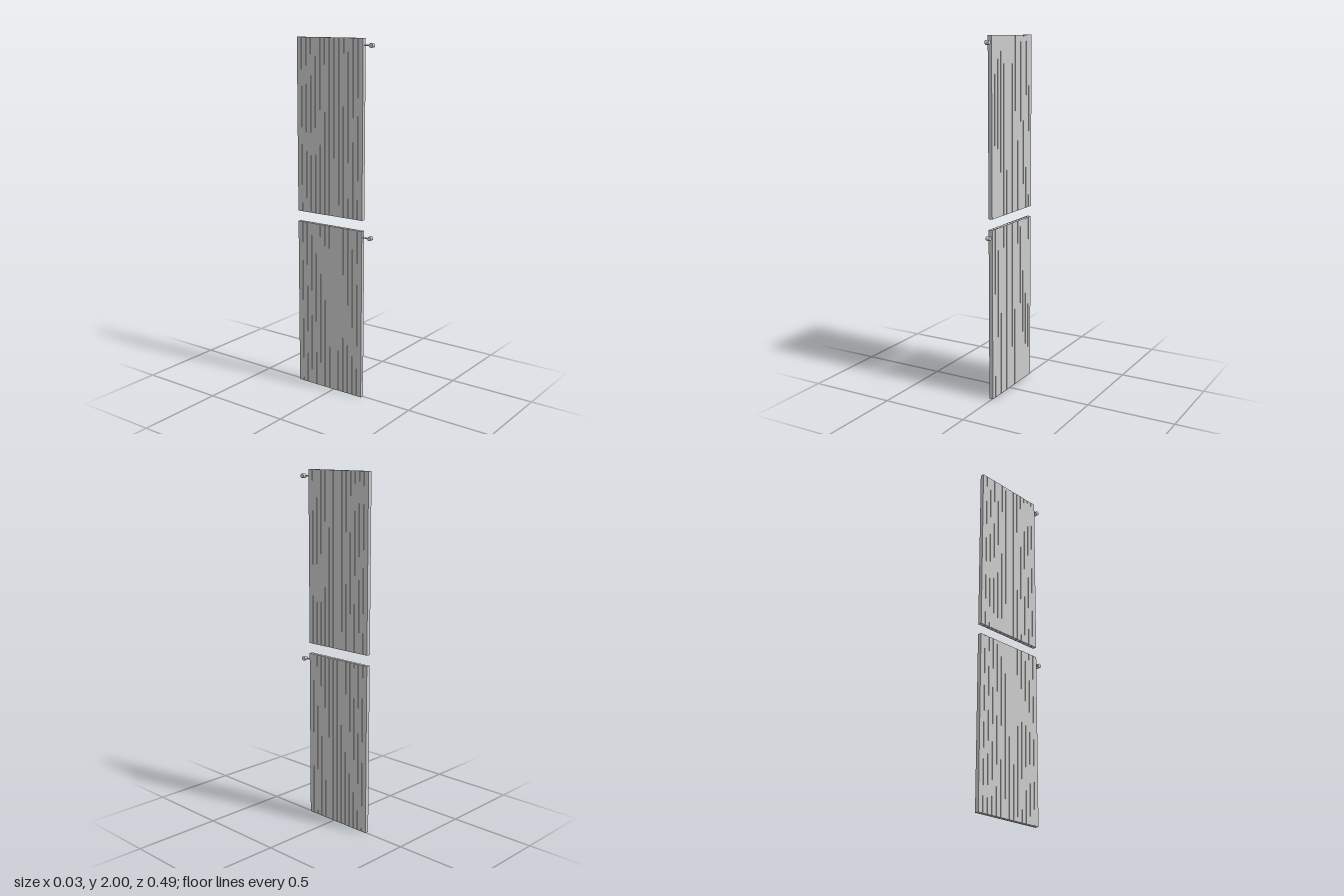
import * as THREE from 'three';

const material = new THREE.MeshStandardMaterial({ color: 0xcccccc, side: THREE.DoubleSide });

const SLATS = 14, Z_MIN = -0.247, Z_MAX = 0.192, GAP = 0.0025;
const X_MIN = -0.018, X_MAX = 0.005, HEIGHT = 0.97;

function add(parent, name, geometry, x, y, z) {
  const mesh = new THREE.Mesh(geometry, material);
  mesh.name = name;
  mesh.position.set(x, y, z);
  parent.add(mesh);
  return mesh;
}

function createPanel(name, baseY) {
  const panel = new THREE.Group();
  panel.name = name;
  panel.position.y = baseY;

  // Row of upright slats with narrow gaps
  const pitch = (Z_MAX - Z_MIN + GAP) / SLATS;
  const slat = new THREE.BoxGeometry(X_MAX - X_MIN, HEIGHT, pitch - GAP);
  for (let i = 0; i < SLATS; i++) {
    add(panel, 'slat', slat, (X_MIN + X_MAX) / 2, HEIGHT / 2, Z_MIN + (pitch - GAP) / 2 + i * pitch);
  }

  // Thin sheet joining the slats
  const sheet = new THREE.PlaneGeometry(0.405, HEIGHT).rotateY(Math.PI / 2);
  add(panel, 'joiningSheet', sheet, 0.001, HEIGHT / 2, -0.0275);

  // Handle: slim stem with a round knob turned sideways
  const handleY = HEIGHT - 0.037;
  const stem = new THREE.CylinderGeometry(0.0037, 0.0037, 0.04, 16).rotateX(Math.PI / 2);
  add(panel, 'handleStem', stem, -0.0035, handleY, 0.205);
  const knob = new THREE.CylinderGeometry(0.012, 0.012, 0.023, 32).rotateZ(Math.PI / 2);
  add(panel, 'handleKnob', knob, 0.0045, handleY, 0.232);
  return panel;
}

export function createModel() {
  const model = new THREE.Group();
  model.name = 'slattedPanels';
  model.add(createPanel('lowerPanel', 0), createPanel('upperPanel', 1.03));
  return model;
}
